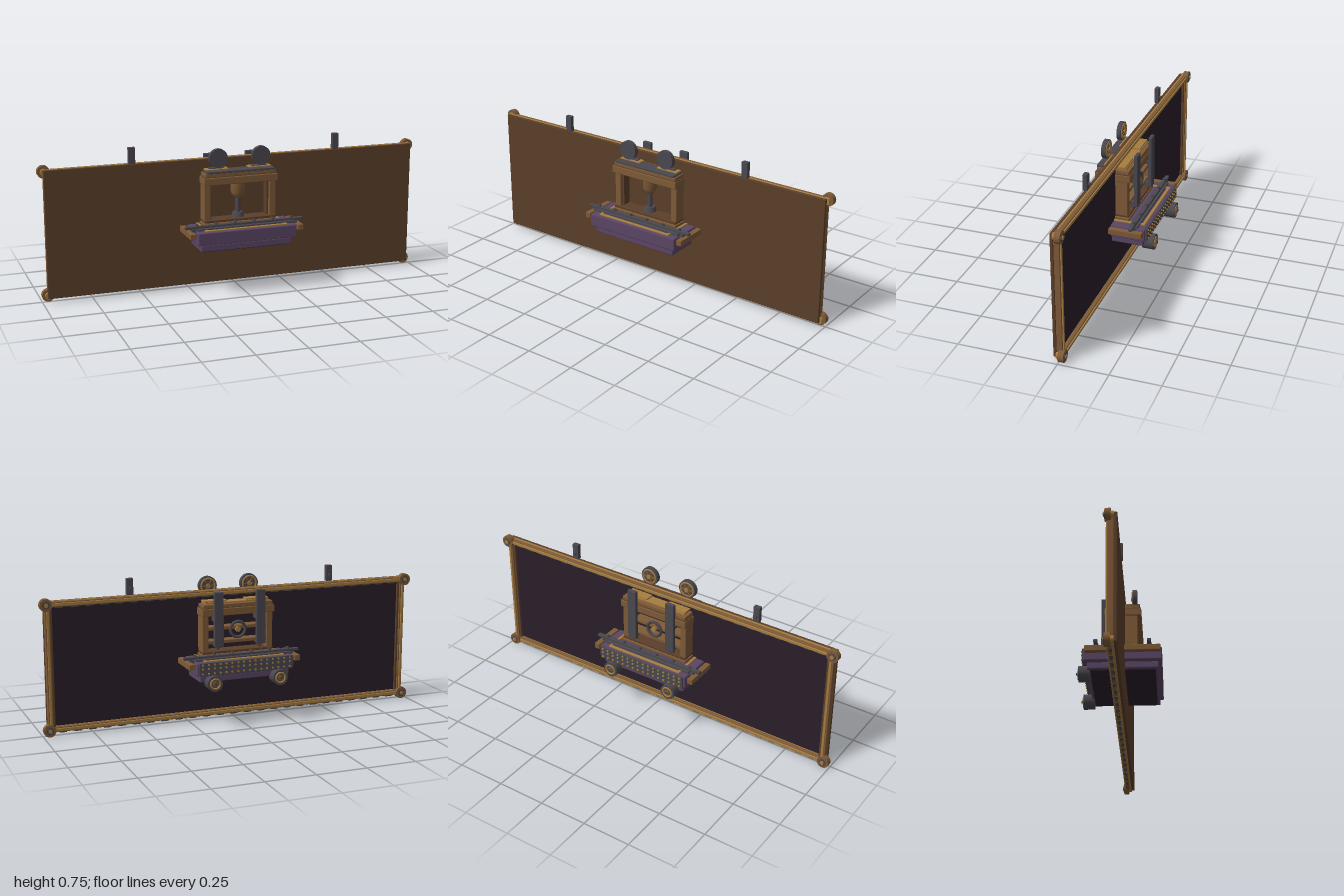
import * as THREE from 'three';
import { RoundedBoxGeometry } from 'three/addons/geometries/RoundedBoxGeometry.js';

const mat = (name, color) => Object.assign(new THREE.MeshStandardMaterial({ color }), { name });

export function createModel() {
  const model = new THREE.Group();
  model.name = 'panelMachine';
  const panelBrown = mat('panel brown', 0x5c3f2a);
  const bronze = mat('bronze', 0x7e5a38);
  const brass = mat('brass', 0xa67d40);
  const iron = mat('iron', 0x4a484f);
  const purple = mat('purple', 0x5b4665);
  const lining = mat('dark lining', 0x2a1f2a);

  const add = (name, geometry, material, x = 0, y = 0, z = 0) => {
    const mesh = new THREE.Mesh(geometry, material);
    mesh.name = name;
    mesh.position.set(x, y, z);
    model.add(mesh);
    return mesh;
  };
  // Box given by its limits on each axis, with a small bevel when asked
  const box = (name, m, [x0, x1], [y0, y1], [z0, z1], bevel = 0) => {
    const s = [x1 - x0, y1 - y0, z1 - z0];
    const g = bevel ? new RoundedBoxGeometry(...s, 1, bevel) : new THREE.BoxGeometry(...s);
    return add(name, g, m, (x0 + x1) / 2, (y0 + y1) / 2, (z0 + z1) / 2);
  };
  // Cylinder lying along z, from z0 to z1
  const disc = (name, m, x, y, r, z0, z1, sides = 24) =>
    add(name, new THREE.CylinderGeometry(r, r, z1 - z0, sides).rotateX(Math.PI / 2), m, x, y, (z0 + z1) / 2);
  const around = (c, w) => [c - w / 2, c + w / 2];

  // Broad board with a dark back
  box('board', panelBrown, [-0.975, 0.975], [0.022, 0.668], [0.013, 0.029], 0.003);
  box('boardLining', lining, [-0.96, 0.96], [0.035, 0.655], [0.004, 0.013]);

  // Frame rails: bronze body, brass facing, dark slots underneath
  for (const y of [0.033, 0.654]) {
    box('railBody', bronze, [-0.97, 0.97], around(y, 0.026), [-0.016, 0.013], 0.003);
    box('railFacing', brass, [-0.96, 0.96], around(y, 0.015), [-0.023, -0.015], 0.002);
    box('railInnerTrim', brass, [-0.96, 0.96], around(y, 0.03), [0.002, 0.013], 0.002);
    for (let i = 0; i < 25; i++)
      box('railSlot', iron, around(-0.9 + i * 0.075, 0.036), [y - 0.018, y - 0.01], [-0.012, 0.003]);
  }
  for (const s of [-1, 1]) {
    box('postBody', bronze, around(s * 0.96, 0.026), [0.03, 0.66], [-0.016, 0.013], 0.003);
    box('postFacing', brass, around(s * 0.96, 0.012), [0.04, 0.65], [-0.023, -0.015], 0.002);
    box('postInnerTrim', panelBrown, around(s * 0.942, 0.012), [0.04, 0.65], [-0.008, 0.013], 0.002);
    // Corner rosettes
    for (const y of [0.032, 0.655]) {
      disc('cornerRosette', bronze, s * 0.969, y, 0.031, -0.028, 0);
      disc('cornerCollar', brass, s * 0.969, y, 0.018, -0.002, 0.014, 12);
      disc('cornerRing', iron, s * 0.969, y, 0.019, -0.031, -0.026);
      disc('cornerBolt', brass, s * 0.969, y, 0.011, -0.036, -0.03, 6);
    }
    // Upright tabs on the top edge
    box('topTab', iron, around(s * 0.54, 0.034), [0.67, 0.752], [0.011, 0.034], 0.002);
    disc('topTabBolt', iron, s * 0.54, 0.701, 0.007, 0, 0.012, 8);
  }

  // Stepped base tray
  box('trayBottom', purple, [-0.24, 0.24], [0.235, 0.27], [-0.157, 0.195], 0.006);
  box('trayUnderside', lining, [-0.225, 0.225], [0.231, 0.236], [-0.142, 0.18]);
  box('trayTop', purple, [-0.26, 0.26], [0.272, 0.338], [-0.172, 0.212], 0.006);
  box('trayNeck', lining, [-0.23, 0.23], [0.262, 0.28], [-0.15, 0.188]);
  for (const z of [-0.15, 0.19]) box('trayTrim', brass, [-0.215, 0.215], [0.334, 0.344], around(z, 0.016), 0.002);
  for (const s of [-1, 1]) {
    box('trayTrimSide', brass, around(s * 0.208, 0.014), [0.334, 0.344], [-0.155, 0.195], 0.002);
    box('sideRail', bronze, around(s * 0.283, 0.03), [0.305, 0.335], [-0.167, 0.205], 0.003);
    for (const z of [-0.11, 0.15])
      box('sideRailBracket', iron, around(s * 0.268, 0.02), [0.31, 0.345], around(z, 0.028));
  }

  // Cross rails with studs over the tray
  for (const z of [-0.112, 0.15]) {
    box('crossRailFoot', iron, [-0.255, 0.255], [0.336, 0.349], around(z, 0.046), 0.003);
    box('crossRail', iron, [-0.31, 0.31], [0.346, 0.361], around(z, 0.02), 0.003);
    for (let i = 0; i < 6; i++)
      add('crossRailStud', new THREE.CylinderGeometry(0.008, 0.01, 0.012, 8), iron, -0.25 + i * 0.1, 0.365, z);
  }

  // Studded plate and rollers at the back of the tray
  box('backPlate', iron, [-0.25, 0.25], [0.272, 0.34], [-0.181, -0.171], 0.003);
  for (const y of [0.285, 0.31, 0.33])
    for (let i = 0; i < 16; i++)
      disc('backPlateStud', brass, -0.233 + i * 0.0311, y, 0.0055, -0.186, -0.18, 6);
  for (const s of [-1, 1]) {
    const x = s * 0.175;
    disc('roller', iron, x, 0.235, 0.04, -0.202, -0.143, 28);
    add('rollerRing', new THREE.TorusGeometry(0.025, 0.005, 6, 24), brass, x, 0.235, -0.202);
    disc('rollerHub', bronze, x, 0.235, 0.014, -0.208, -0.2, 12);
    disc('rollerBolt', iron, x, 0.235, 0.008, -0.213, -0.206, 6);
  }

  // Open cabinet straddling the board
  box('cabinetPlinth', bronze, [-0.195, 0.195], [0.338, 0.353], [-0.07, 0.105], 0.004);
  box('cabinetPlinthStep', panelBrown, [-0.19, 0.19], [0.353, 0.367], [-0.066, 0.1], 0.004);
  for (const s of [-1, 1]) {
    box('cabinetSide', bronze, around(s * 0.173, 0.034), [0.36, 0.55], [-0.06, 0.092], 0.004);
    box('cabinetInnerTrim', panelBrown, around(s * 0.152, 0.01), [0.36, 0.55], [0.03, 0.075]);
  }
  box('cabinetCornice', bronze, [-0.195, 0.195], [0.547, 0.586], [-0.075, 0.11], 0.005);
  box('cabinetCap', bronze, [-0.187, 0.187], [0.584, 0.606], [-0.066, 0.102], 0.004);
  box('cabinetCapTrim', panelBrown, [-0.192, 0.192], [0.583, 0.589], [-0.071, 0.105]);
  box('capPlate', iron, [-0.18, 0.18], [0.604, 0.616], [0.034, 0.104], 0.003);
  box('capPlateBack', brass, [-0.17, 0.17], [0.604, 0.613], [-0.047, 0.034], 0.002);
  for (const y of [0.41, 0.48]) box('backShelf', bronze, [-0.165, 0.165], around(y, 0.018), [-0.055, 0], 0.003);
  add('backGear', new THREE.TorusGeometry(0.04, 0.008, 6, 20), iron, 0, 0.47, -0.058);
  disc('backGearHub', brass, 0, 0.47, 0.014, -0.066, -0.05, 10);

  // Hanging plunger in the front opening
  const head = [[0.001, 0.462], [0.02, 0.466], [0.036, 0.492], [0.036, 0.55]].map(p => new THREE.Vector2(...p));
  add('plungerHead', new THREE.LatheGeometry(head, 16), bronze, 0, 0, 0.052);
  add('plungerRod', new THREE.CylinderGeometry(0.013, 0.013, 0.1, 12), iron, 0, 0.425, 0.052);
  add('plungerFoot', new THREE.CylinderGeometry(0.026, 0.034, 0.025, 12), iron, 0, 0.378, 0.052);

  for (const s of [-1, 1]) {
    const x = s * 0.113;
    // Round plates above the cabinet with spoked brass backs
    disc('roundPlate', iron, x, 0.678, 0.048, 0.066, 0.088, 32);
    add('roundPlateRing', new THREE.TorusGeometry(0.037, 0.005, 6, 28), brass, x, 0.678, 0.065);
    for (let i = 0; i < 3; i++)
      add('roundPlateSpoke', new THREE.BoxGeometry(0.07, 0.007, 0.006), bronze, x, 0.678, 0.064).rotation.z = i * Math.PI / 3;
    disc('roundPlateHub', brass, x, 0.678, 0.011, 0.056, 0.067, 10);
    // Brackets on the cap
    box('capBracket', brass, around(x, 0.12), [0.612, 0.621], [-0.043, 0.07], 0.002);
    box('capBracketInset', iron, around(x, 0.08), [0.618, 0.625], [0.035, 0.06], 0.002);
    // Tall straps behind the cabinet
    box('strap', iron, around(x, 0.05), [0.392, 0.671], [-0.094, -0.074], 0.004);
    for (const y of [0.383, 0.525, 0.565])
      disc('strapBolt', y > 0.55 ? brass : iron, x, y, 0.008, -0.078, -0.055, 8);
    box('strapArm', iron, around(x, 0.024), [0.515, 0.535], [-0.076, -0.015]);
    box('strapFoot', iron, around(x, 0.024), [0.392, 0.408], [-0.076, -0.03]);
  }
  return model;
}
